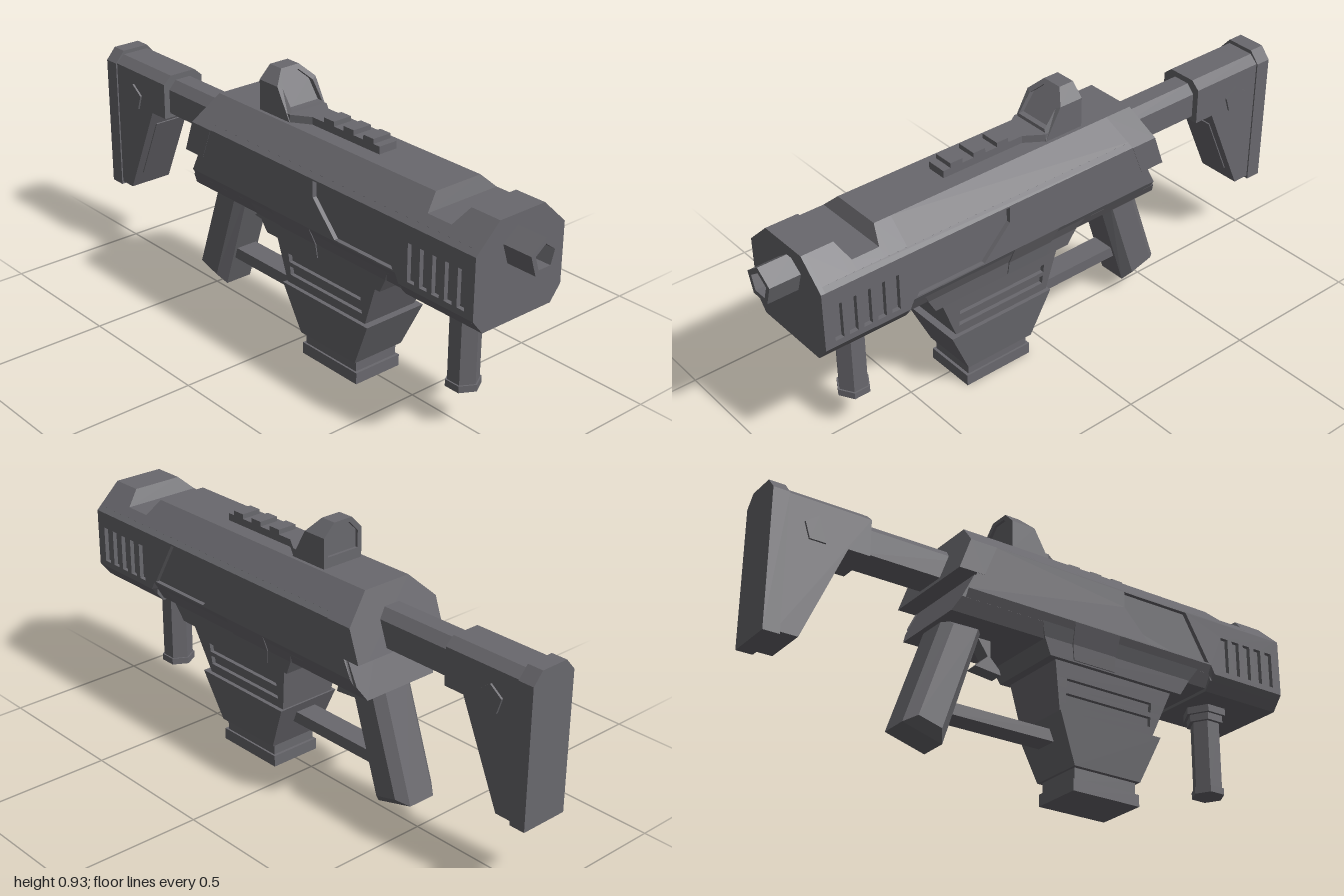
import * as THREE from 'three';

const gunmetal = new THREE.MeshStandardMaterial({ color: 0x69686d });
gunmetal.name = 'gunmetal grey';

const toShape = (pts) => new THREE.Shape(pts.map(([a, b]) => new THREE.Vector2(a, b)));

// Side outline (x, y) given thickness in z, with optional chamfered edges
function prism(pts, half, bevel = 0) {
  const depth = 2 * (half - bevel);
  const g = new THREE.ExtrudeGeometry(toShape(pts), {
    depth, bevelEnabled: bevel > 0, bevelSegments: 1,
    bevelSize: bevel, bevelThickness: bevel, bevelOffset: -bevel,
  });
  return g.translate(0, 0, -depth / 2);
}

// Cross-section (z, y) run along x, with optional inner hole
function alongX(pts, x0, x1, hole) {
  const s = toShape(pts);
  if (hole) s.holes.push(toShape(hole));
  const g = new THREE.ExtrudeGeometry(s, { depth: x1 - x0, bevelEnabled: false });
  return g.rotateY(Math.PI / 2).translate(x0, 0, 0);
}

function box(x0, x1, y0, y1, half) {
  return new THREE.BoxGeometry(x1 - x0, y1 - y0, 2 * half).translate((x0 + x1) / 2, (y0 + y1) / 2, 0);
}

// Box whose bottom and top rectangles differ: [x0, x1, halfZ, y]
function taper(bottom, top) {
  const g = new THREE.BoxGeometry(2, 2, 2), p = g.attributes.position;
  for (let i = 0; i < p.count; i++) {
    const [x0, x1, h, y] = p.getY(i) > 0 ? top : bottom;
    p.setXYZ(i, p.getX(i) > 0 ? x1 : x0, y, p.getZ(i) * h);
  }
  g.computeVertexNormals();
  return g;
}

// Eight-sided receiver section, clipped by its top height and half width
function section({ x, shear = 0, top = 0.785, w = 0.165, sb = 0.53, b = 0.46 }) {
  const half = [
    [0.09 + (0.785 - top) * 1.059, top],
    [w, 0.7 + (0.18 - w) * 0.944],
    [w, sb - ((0.18 - w) / 0.04) * (sb - b)],
    [0.14, b],
  ];
  const ring = [...half, ...half.slice().reverse().map(([z, y]) => [-z, y])];
  return ring.map(([z, y]) => [x - shear * (0.785 - y), y, z]);
}

function loft(rings) {
  const v = [], n = rings[0].length, last = rings[rings.length - 1];
  for (let i = 0; i + 1 < rings.length; i++) {
    for (let k = 0; k < n; k++) {
      const a = rings[i][k], b = rings[i][(k + 1) % n];
      const c = rings[i + 1][(k + 1) % n], d = rings[i + 1][k];
      v.push(...a, ...b, ...c, ...a, ...c, ...d);
    }
  }
  for (let k = 1; k + 1 < n; k++) {
    v.push(...last[0], ...last[k], ...last[k + 1]);
    v.push(...rings[0][0], ...rings[0][k + 1], ...rings[0][k]);
  }
  const g = new THREE.BufferGeometry();
  g.setAttribute('position', new THREE.Float32BufferAttribute(v, 3));
  g.computeVertexNormals();
  return g;
}

function ngon(sides, r, cx, cy) {
  return Array.from({ length: sides }, (_, i) => {
    const a = Math.PI / 2 + (i / sides) * Math.PI * 2;
    return [cx + r * Math.cos(a), cy + r * Math.sin(a)];
  });
}

export function createModel() {
  const model = new THREE.Group();
  const add = (name, g) => {
    const m = new THREE.Mesh(g, gunmetal);
    m.name = name;
    model.add(m);
  };

  // Receiver core with raked rear end, stepped front and a notch across the top
  const front = { sb: 0.5, b: 0.45 };
  add('receiver', loft([
    { x: -0.248, shear: 0.5 }, { x: 0.6 },
    { x: 0.6, ...front }, { x: 0.66, ...front },
    { x: 0.68, ...front, top: 0.738 }, { x: 0.775, ...front, top: 0.738 },
    { x: 0.8, ...front }, { x: 0.895, ...front },
  ].map(section)));

  // Overhanging rear shell
  const shell = { w: 0.181, sb: 0.59, b: 0.59 };
  add('rearShell', loft([{ x: -0.34, shear: 0.36, ...shell }, { x: -0.24, shear: 0.4, ...shell }].map(section)));

  // Cheek plates on both sides, with a sunken panel and five vents
  for (const s of [1, -1]) {
    const shape = toShape([[-0.3755, 0.53], [0.595, 0.53], [0.61, 0.5], [0.895, 0.5], [0.895, 0.7], [-0.2905, 0.7]]);
    shape.holes.push(toShape([[0.23, 0.64], [0.33, 0.535], [0.585, 0.535], [0.492, 0.695], [0.23, 0.695]]));
    for (let i = 0; i < 5; i++) {
      const x = 0.645 + i * 0.05;
      shape.holes.push(toShape([[x, 0.52], [x + 0.03, 0.52], [x + 0.03, 0.645], [x, 0.645]]));
    }
    const g = new THREE.ExtrudeGeometry(shape, { depth: 0.015, bevelEnabled: false });
    g.translate(0, 0, s > 0 ? 0.165 : -0.18);
    const p = g.attributes.position;
    for (let i = 0; i < p.count; i++) {
      if (Math.abs(p.getZ(i)) > 0.17) continue;
      const x = p.getX(i), y = p.getY(i);
      if (y > 0.697) p.setY(i, 0.714);
      else if (y < 0.505) p.setY(i, 0.481);
      else if (y < 0.533 && (x < 0 || Math.abs(x - 0.595) < 0.003)) p.setY(i, 0.504);
    }
    g.computeVertexNormals();
    add(s > 0 ? 'cheekPlateLeft' : 'cheekPlateRight', g);
  }

  // Muzzle rim and five-sided barrel
  const octagon = section({ x: 0, w: 0.18, ...front }).map(([, y, z]) => [z, y]);
  const inner = octagon.map(([z, y]) => [z * 0.79, 0.615 + (y - 0.615) * 0.8]);
  add('muzzleRim', alongX(octagon, 0.895, 0.91, inner));
  add('barrel', alongX(ngon(5, 0.06, 0, 0.678), 0.88, 1, ngon(5, 0.041, 0, 0.678)));
  add('barrelCore', alongX(ngon(5, 0.043, 0, 0.678), 0.88, 0.94));

  // Magazine well flare and its raised panel
  add('wellFlareTop', taper([-0.068, 0.522, 0.148, 0.465], [-0.1, 0.56, 0.177, 0.53]));
  add('wellFlare', taper([-0.04, 0.49, 0.14, 0.41], [-0.068, 0.522, 0.148, 0.465]));
  add('wellPanelTop', taper([0.04, 0.21, 0.152, 0.465], [0.03, 0.21, 0.18, 0.53]));
  add('wellPanel', taper([0.05, 0.21, 0.144, 0.415], [0.04, 0.21, 0.152, 0.465]));

  // Middle of the well in slices; every second slice is a groove with closed ends
  const wellAt = (y) => {
    const t = (y - 0.245) / 0.165;
    return [0.02 - 0.03 * t, 0.39 + 0.067 * t, 0.105 + 0.02 * t, y];
  };
  const levels = [0.245, 0.278, 0.31, 0.326, 0.358, 0.41];
  for (let i = 0; i < 5; i++) {
    const lo = wellAt(levels[i]), hi = wellAt(levels[i + 1]);
    if (i % 2 === 0) {
      add('wellMiddle', taper(lo, hi));
    } else {
      const side = (a, l, r, d) => [l ?? a[0], r ?? a[1], a[2] - d, a[3]];
      add('wellGroove', taper(side(lo, 0.04, 0.38, 0.014), side(hi, 0.04, 0.38, 0.014)));
      add('wellGrooveEnd', taper(side(lo, null, 0.04, 0), side(hi, null, 0.04, 0)));
      add('wellGrooveEnd', taper(side(lo, 0.38, null, 0), side(hi, 0.38, null, 0)));
    }
  }
  add('wellLower', taper([0.08, 0.34, 0.1, 0.08], [0.013, 0.415, 0.119, 0.245]));
  add('magazineNeck', box(0.09, 0.33, 0.035, 0.085, 0.085));
  add('magazineBase', box(0.08, 0.34, 0, 0.04, 0.092));

  // Rear grip, trigger and the bar joining grip to magazine well
  add('rearGrip', prism([[-0.515, 0.1], [-0.375, 0.06], [-0.24, 0.48], [-0.385, 0.48]], 0.08, 0.03));
  add('trigger', prism([[-0.25, 0.48], [-0.2, 0.405], [-0.245, 0.362], [-0.15, 0.352], [-0.155, 0.37], [-0.19, 0.405], [-0.19, 0.48]], 0.025));
  add('guardBar', box(-0.36, 0.05, 0.17, 0.21, 0.04));

  // Six-sided front grip
  for (const [name, r, y0, y1] of [
    ['foregripMount', 0.075, 0.425, 0.452], ['foregripCollar', 0.064, 0.4, 0.425],
    ['foregripShaft', 0.051, 0.15, 0.41], ['foregripFoot', 0.057, 0.14, 0.163],
  ]) {
    const g = new THREE.CylinderGeometry(r, r, y1 - y0, 6).rotateY(Math.PI / 6).toNonIndexed();
    g.computeVertexNormals();
    add(name, g.translate(0.715, (y0 + y1) / 2, 0));
  }

  // Shoulder stock: tube, body, butt plate and pentagon badges
  add('stockTube', alongX([[-0.058, 0.607], [0.058, 0.607], [0.058, 0.692], [0.03, 0.722], [-0.03, 0.722], [-0.058, 0.692]], -0.68, -0.3));
  add('stockBody', prism([[-0.96, 0.26], [-0.885, 0.26], [-0.74, 0.59], [-0.665, 0.59], [-0.665, 0.715], [-0.96, 0.715]], 0.08));
  add('stockTop', taper([-0.96, -0.665, 0.08, 0.715], [-0.96, -0.665, 0.05, 0.742]));
  add('stockInset', box(-0.12, 0.12, -0.004, 0.004, 0.05)
    .rotateZ(Math.atan2(0.33, 0.145)).translate(-0.8125, 0.425, 0));
  add('buttPlate', alongX([[-0.085, 0.25], [0.085, 0.25], [0.085, 0.715], [0.05, 0.755], [-0.05, 0.755], [-0.085, 0.715]], -1, -0.945));
  add('stockBadges', prism(ngon(5, 0.047, -0.845, 0.62), 0.087));

  // Sight rail with three cross bars
  const edge = [[-0.145, 0.075], [0, 0.075], [0.06, 0.035], [0.365, 0.035]];
  const railShape = toShape([...edge, ...edge.slice().reverse().map(([x, z]) => [x, -z])]);
  add('sightRail', new THREE.ExtrudeGeometry(railShape, { depth: 0.03, bevelEnabled: false })
    .rotateX(-Math.PI / 2).translate(0, 0.78, 0));
  for (const x of [0.115, 0.205, 0.293]) add('railBar', box(x, x + 0.045, 0.8, 0.826, 0.035));

  // Hooded sight with a raked front and a pane set back inside it
  const arch = (w, y0, y1, c) => [[-w, y0], [w, y0], [w, y1 - c], [w - c, y1], [-w + c, y1], [-w, y1 - c]];
  const rake = (g, inset) => {
    const p = g.attributes.position;
    for (let i = 0; i < p.count; i++) {
      if (p.getX(i) > -0.07) p.setX(i, -inset - Math.max(0, p.getY(i) - 0.81) * 0.76);
    }
    g.computeVertexNormals();
    return g;
  };
  add('sightHood', rake(alongX(arch(0.078, 0.785, 0.928, 0.042), -0.145, 0, arch(0.062, 0.82, 0.914, 0.036)), 0));
  add('sightPane', rake(alongX(arch(0.064, 0.81, 0.916, 0.036), -0.135, 0), 0.02));

  return model;
}
